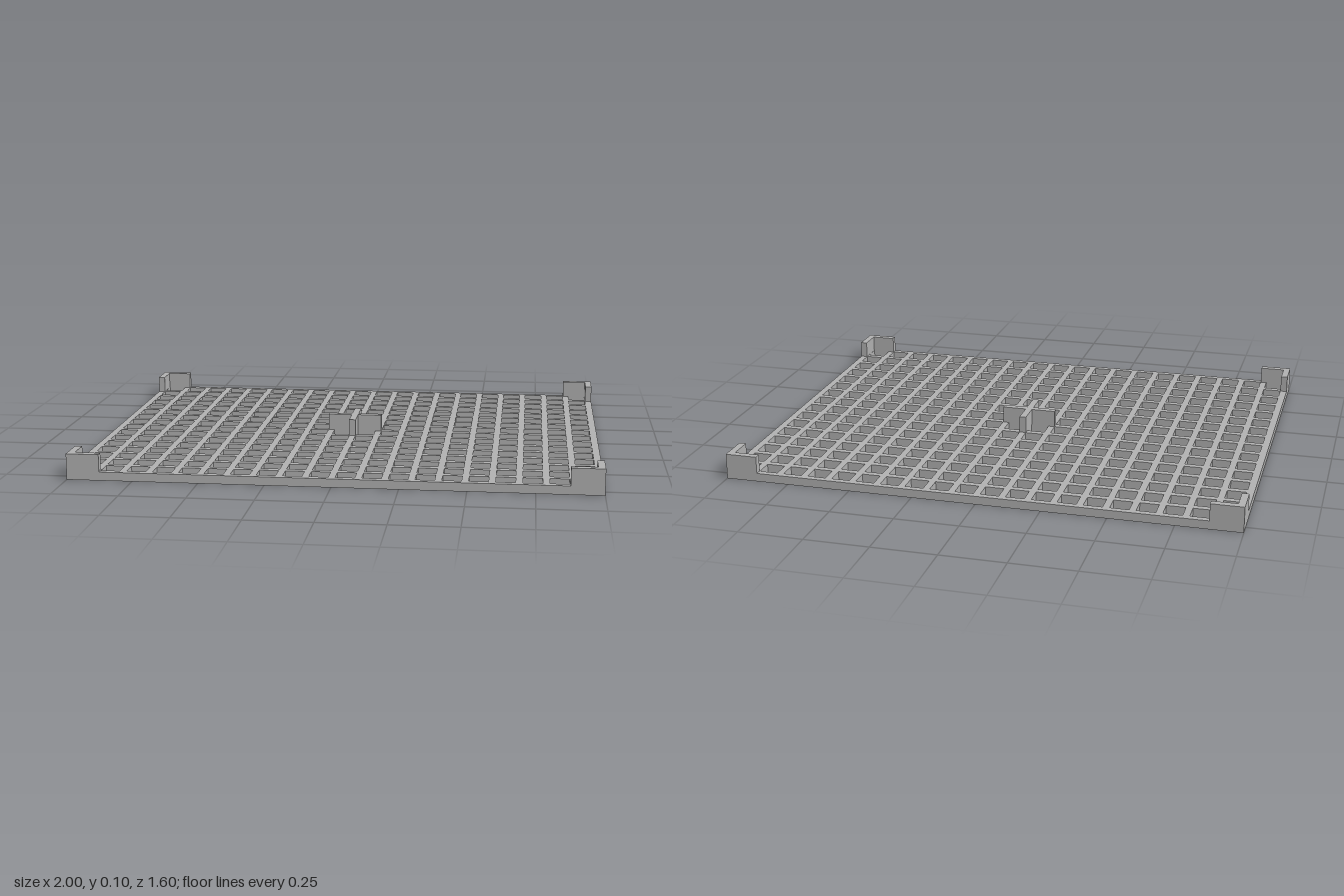
import * as THREE from 'three';

const HALF_X = 1, HALF_Z = 0.8;
const COLS = 20, ROWS = 16, PITCH = 0.0985, HOLE = 0.0725;
const PLATE = 0.033, TOP = 0.1;
const WALL = 0.027, CORNER = 0.125, CROSS = 0.11;

export function createModel() {
  const group = new THREE.Group();
  const grey = new THREE.MeshStandardMaterial({ color: 0xb2b2b2 });
  grey.name = 'grey';

  // Extrudes a plan outline (x, z) upward from y0 to y1.
  const slab = (name, shape, y0, y1) => {
    const geometry = new THREE.ExtrudeGeometry(shape, { depth: y1 - y0, bevelEnabled: false });
    geometry.rotateX(-Math.PI / 2).translate(0, y0, 0);
    const mesh = new THREE.Mesh(geometry, grey);
    mesh.name = name;
    group.add(mesh);
  };
  const outline = (points) => points.map(([x, z]) => new THREE.Vector2(x, z));
  const rect = (x, z, hx, hz) => outline(
    [[x - hx, z - hz], [x + hx, z - hz], [x + hx, z + hz], [x - hx, z + hz]]);

  // Base grating with square holes
  const base = new THREE.Shape(rect(0, 0, HALF_X, HALF_Z));
  for (let i = 0; i < COLS; i++) {
    for (let j = 0; j < ROWS; j++) {
      const x = (i - (COLS - 1) / 2) * PITCH, z = (j - (ROWS - 1) / 2) * PITCH;
      base.holes.push(new THREE.Path(rect(x, z, HOLE / 2, HOLE / 2)));
    }
  }
  slab('grating', base, 0, PLATE);

  // L-shaped corner brackets
  for (const sx of [-1, 1]) {
    for (const sz of [-1, 1]) {
      const points = [[0, 0], [CORNER, 0], [CORNER, WALL], [WALL, WALL], [WALL, CORNER], [0, CORNER]]
        .map(([a, b]) => [sx * (HALF_X - a), sz * (HALF_Z - b)]);
      slab('cornerBracket', new THREE.Shape(outline(points)), PLATE, TOP);
    }
  }

  // Plus-shaped centre divider
  const w = WALL / 2, c = CROSS;
  slab('centreCross', new THREE.Shape(outline([
    [-w, -c], [w, -c], [w, -w], [c, -w], [c, w], [w, w],
    [w, c], [-w, c], [-w, w], [-c, w], [-c, -w], [-w, -w],
  ])), PLATE, TOP);

  return group;
}
